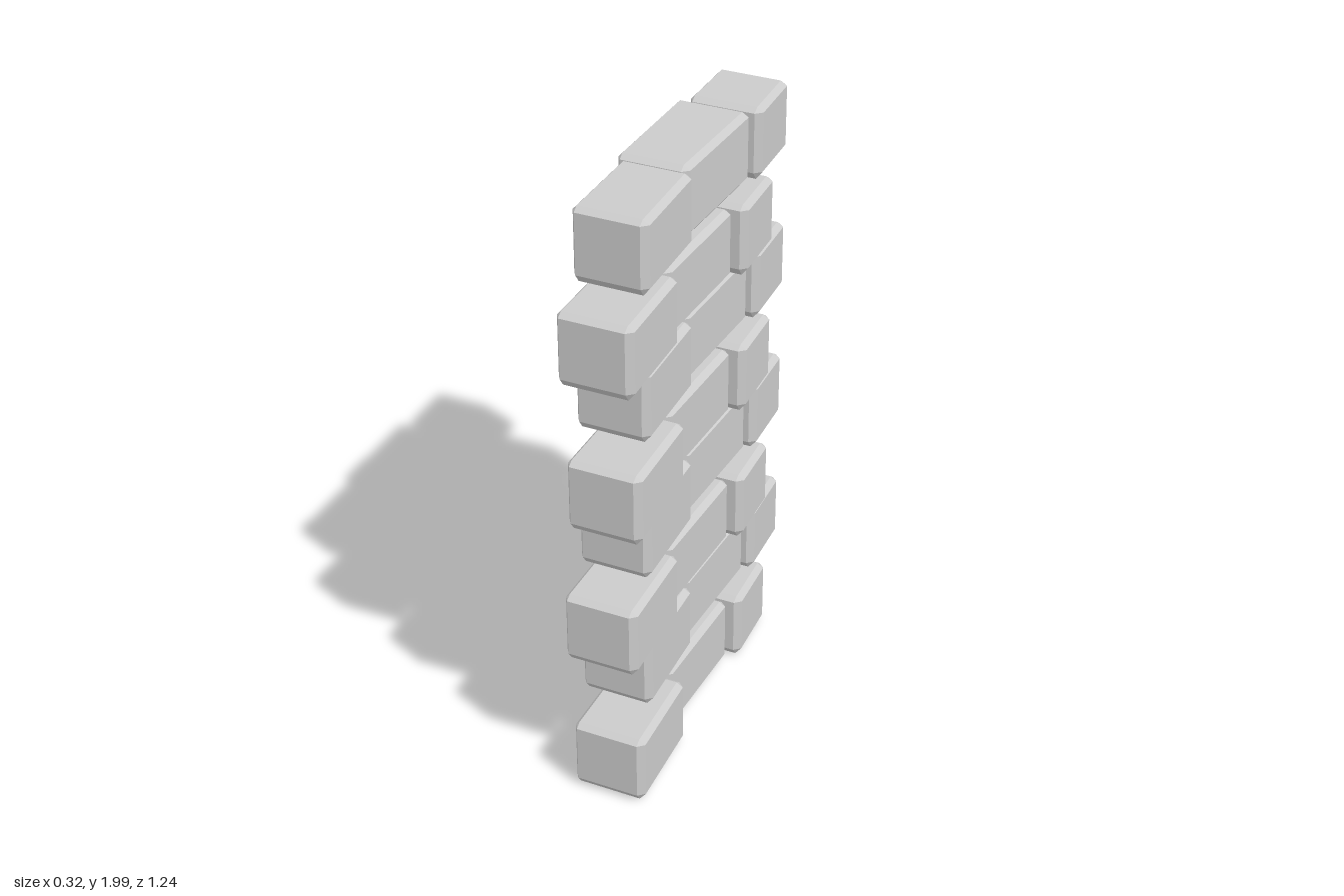
import * as THREE from 'three';
import { ConvexGeometry } from 'three/addons/geometries/ConvexGeometry.js';

const material = new THREE.MeshStandardMaterial({ color: 0xcccccc, flatShading: true });

// Hewn block with uneven chamfers; the +x side leans over its length by skew.
function stoneGeometry(width, height, length, skew) {
  const inset = { x: [0.013, 0.022], y: [0.028, 0.014], z: [0.02, 0.02] };
  const points = [];
  for (const i of [0, 1]) for (const j of [0, 1]) for (const k of [0, 1]) {
    const s = [i * 2 - 1, j * 2 - 1, k * 2 - 1];
    const d = [inset.x[i], inset.y[j], inset.z[k]];
    // Each corner is cut into three points, one on each adjoining face
    for (let face = 0; face < 3; face++) {
      const p = [width, height, length].map((size, a) => s[a] * (size / 2 - (a === face ? 0 : d[a])));
      p[0] += skew * s[2] * (i ? 1 : 0.2);
      points.push(new THREE.Vector3(...p));
    }
  }
  return new ConvexGeometry(points);
}

export function createModel() {
  const wall = new THREE.Group();
  wall.name = 'stoneWall';
  const rowHeight = 0.25;

  // Stones of the two alternating courses: z range, x range, skew
  const courses = [
    [
      { name: 'frontStone', z: [0.27, 0.62], x: [-0.085, 0.155], skew: 0.006 },
      { name: 'middleStone', z: [-0.185, 0.26], x: [-0.15, 0.095], skew: -0.005 },
      { name: 'backStone', z: [-0.447, -0.197], x: [-0.105, 0.135], skew: 0.005 },
    ],
    [
      { name: 'frontStone', z: [0.1, 0.45], x: [-0.135, 0.103], skew: 0.006 },
      { name: 'middleStone', z: [-0.355, 0.09], x: [-0.162, 0.077], skew: -0.006 },
      { name: 'backStone', z: [-0.62, -0.367], x: [-0.135, 0.106], skew: 0.005 },
    ],
  ];

  for (let row = 0; row < 8; row++) {
    const course = new THREE.Group();
    course.name = `course${row + 1}`;
    course.position.y = (row + 0.5) * rowHeight;
    for (const { name, z, x, skew } of courses[row % 2]) {
      const stone = new THREE.Mesh(
        stoneGeometry(x[1] - x[0], rowHeight - 0.005, z[1] - z[0], skew), material);
      stone.name = name;
      // Every other wide course has its front stone set back a little
      const shift = name === 'frontStone' && row % 4 === 2 ? -0.021 : 0;
      stone.position.set((x[0] + x[1]) / 2 + shift, 0, (z[0] + z[1]) / 2);
      course.add(stone);
    }
    wall.add(course);
  }
  return wall;
}
